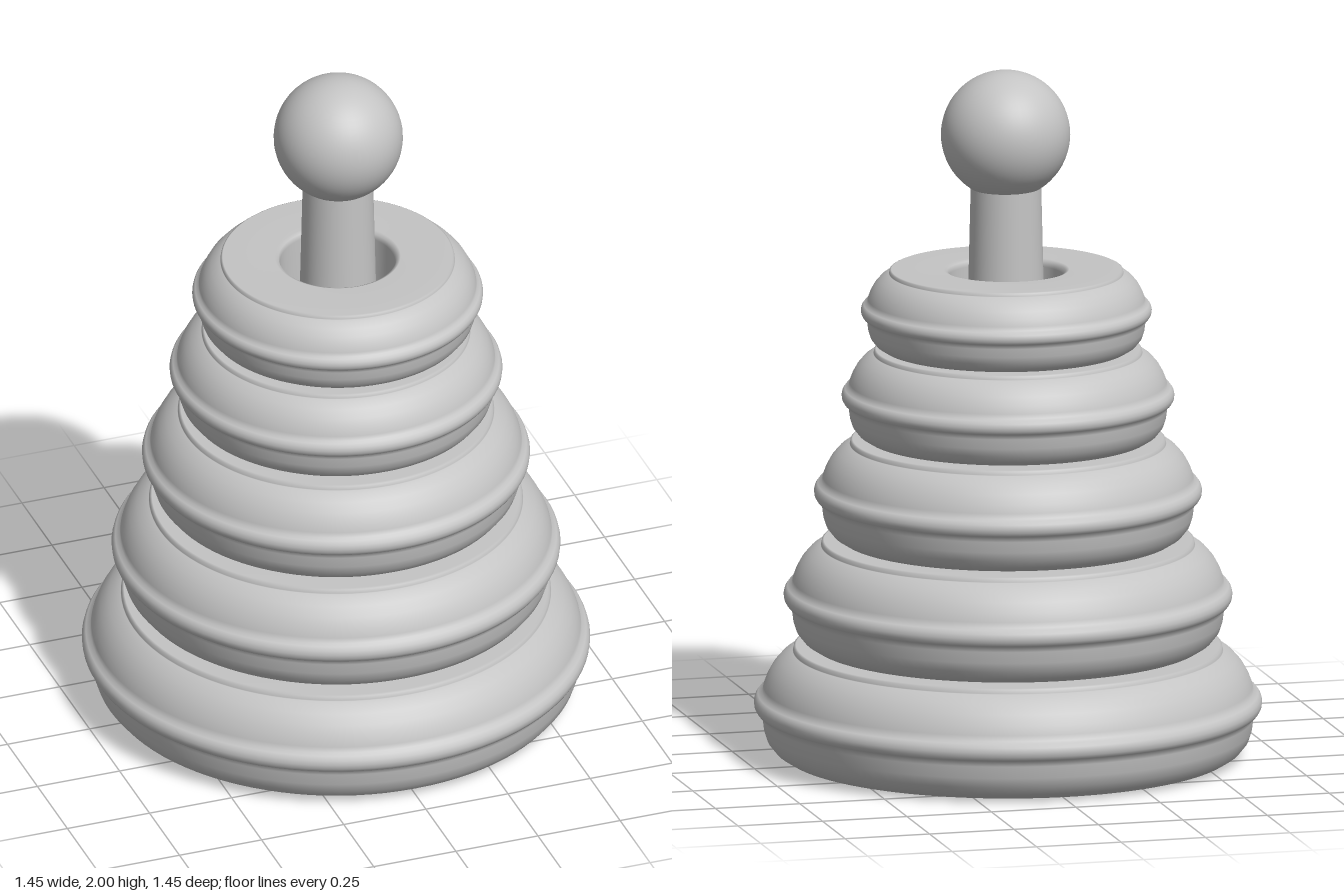
import * as THREE from 'three';

const HOLE = 0.165;

// Rows are [inset from the bead radius, height], both as fractions of the ring height.
const OUTLINE = [
  [0.5, 0], [0.36, 0.005], [0.26, 0.025], [0.18, 0.075], [0.12, 0.15], [0.09, 0.24],
  [0.075, 0.35], [0.065, 0.4], [0.025, 0.415], [0.005, 0.45], [0, 0.49], [0.01, 0.53],
  [0.035, 0.565], [0.075, 0.58], [0.085, 0.63], [0.115, 0.71], [0.165, 0.8],
  [0.235, 0.88], [0.31, 0.935], [0.345, 0.95], [0.35, 0.955], [0.355, 0.99], [0.375, 1]
];

export function createModel() {
  const group = new THREE.Group();
  const grey = new THREE.MeshStandardMaterial({ color: 0xc4c4c4 });
  grey.name = 'light grey';

  const add = (name, geometry, x, y, z) => {
    const mesh = new THREE.Mesh(geometry, grey);
    mesh.name = name;
    mesh.position.set(x, y, z);
    group.add(mesh);
  };

  // Ring with a raised bead around its middle; the base is closed underneath
  const ring = (radius, height, closed) => {
    const points = OUTLINE.map(([inset, t]) =>
      new THREE.Vector2(radius - inset * height, t * height));
    const start = new THREE.Vector2(closed ? 0 : HOLE, 0);
    const end = [
      new THREE.Vector2(HOLE + 0.015, height),
      new THREE.Vector2(HOLE + 0.004, height - 0.005),
      new THREE.Vector2(HOLE, height - 0.02),
      new THREE.Vector2(HOLE, closed ? 0.04 : 0.001)
    ];
    if (closed) end.push(new THREE.Vector2(0, 0.04));
    else end.push(start.clone());
    return new THREE.LatheGeometry([start, ...points, ...end], 96);
  };

  // Five stacked rings: bead radius, bottom, top, x offset
  [
    [0.727, 0, 0.322, 0],
    [0.642, 0.322, 0.63, 0],
    [0.555, 0.63, 0.925, 0],
    [0.476, 0.925, 1.188, 0],
    [0.416, 1.188, 1.42, 0.005]
  ].forEach(([radius, bottom, top, x], i) =>
    add(i ? `ring${i + 1}` : 'baseRing', ring(radius, top - bottom, i === 0), x, bottom, 0));

  // Tapered pole through the holes
  add('pole', new THREE.CylinderGeometry(0.1, 0.14, 1.66, 48, 1, true), 0.006, 0.87, 0);

  // Ball on top
  add('ball', new THREE.SphereGeometry(0.185, 48, 32), 0.008, 1.815, -0.003);

  return group;
}
